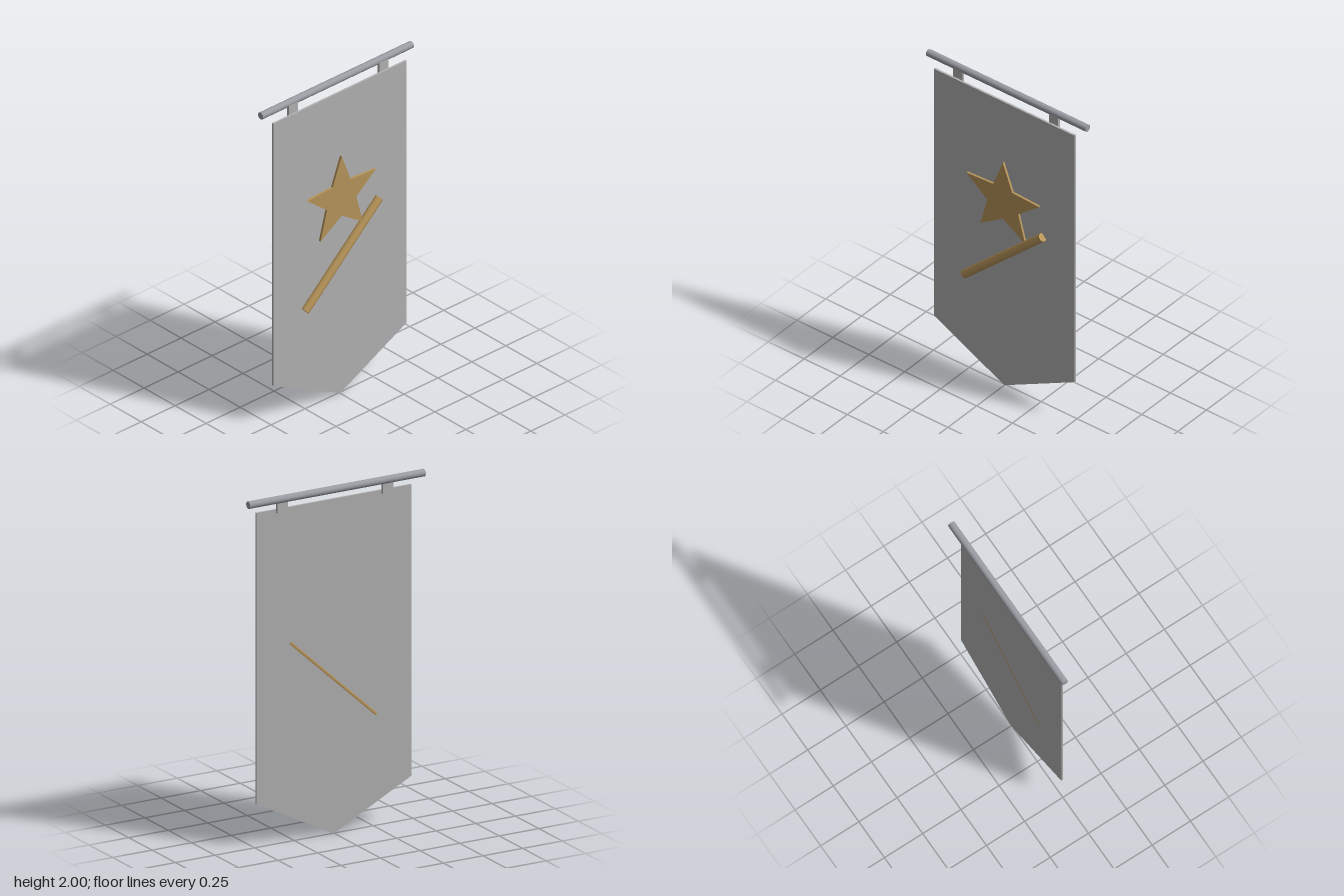
import * as THREE from 'three';

const material = (name, color) => {
  const m = new THREE.MeshStandardMaterial({ color });
  m.name = name;
  return m;
};

// Flat plate cut from an outline, spanning z0 to z1
function plate(points, z0, z1) {
  const shape = new THREE.Shape(points.map(([x, y]) => new THREE.Vector2(x, y)));
  const geometry = new THREE.ExtrudeGeometry(shape, { depth: z1 - z0, bevelEnabled: false });
  return geometry.translate(0, 0, z0);
}

export function createModel() {
  const model = new THREE.Group();
  model.name = 'hangingBanner';
  const cloth = material('clothGrey', 0xb2b2b2);
  const steel = material('steelGrey', 0x9a9ca3);
  const gold = material('dullGold', 0xb8955a);

  const add = (name, geometry, mat) => {
    const mesh = new THREE.Mesh(geometry, mat);
    mesh.name = name;
    model.add(mesh);
    return mesh;
  };

  // Cloth with a pointed lower edge
  add('cloth', plate([[0, 0], [0.49, 0.248], [0.49, 1.917], [-0.49, 1.917], [-0.49, 0.248]],
    -0.0035, 0.0085), cloth);

  // Hanging rod
  const rod = add('hangingRod', new THREE.CylinderGeometry(0.021, 0.021, 1.11, 24), steel);
  rod.rotation.z = Math.PI / 2;
  rod.position.set(0, 1.979, -0.024);

  // Tabs joining the cloth to the rod
  for (const side of [-1, 1]) {
    const tab = add(side > 0 ? 'leftTab' : 'rightTab', new THREE.BoxGeometry(0.066, 0.085, 0.014), cloth);
    tab.position.set(side * 0.333, 1.9395, -0.0105);
  }

  // Five-pointed star
  const starPoints = [];
  for (let i = 0; i < 10; i++) {
    const a = Math.PI / 2 + (i * Math.PI) / 5;
    const r = i % 2 ? 0.113 : 0.265;
    starPoints.push([r * Math.cos(a), 1.25 + r * Math.sin(a)]);
  }
  add('star', plate(starPoints, 0.005, 0.022), gold);

  // Diagonal bar, sunk slightly through the cloth
  const start = new THREE.Vector3(-0.267, 0.638, 0.02);
  const end = new THREE.Vector3(0.277, 1.138, 0.02);
  const bar = add('diagonalBar', new THREE.CylinderGeometry(0.025, 0.025, start.distanceTo(end), 24), gold);
  bar.position.copy(start).lerp(end, 0.5);
  bar.rotation.z = Math.atan2(end.y - start.y, end.x - start.x) - Math.PI / 2;

  return model;
}
